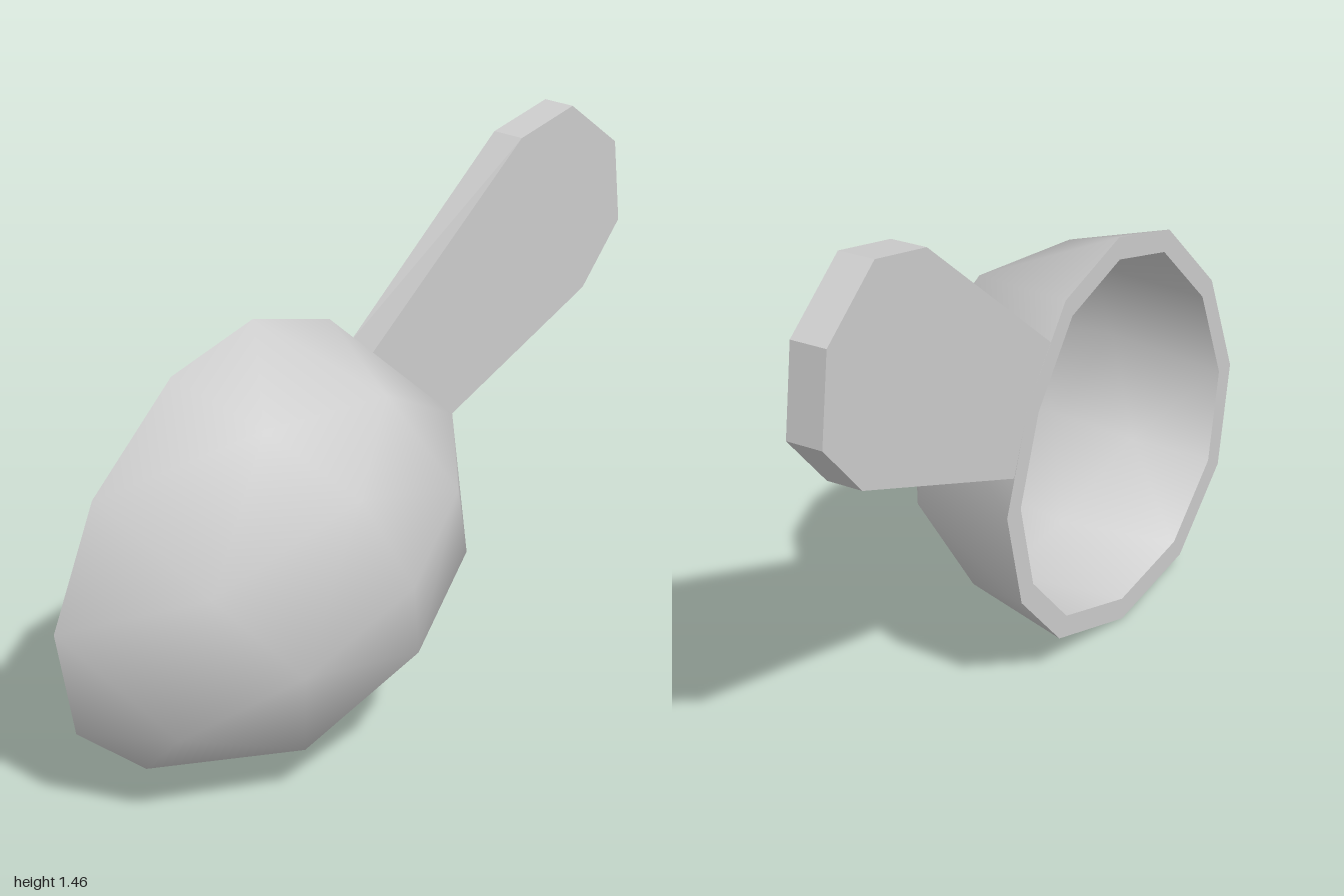
import * as THREE from 'three';

const RIM_Z = -0.275;
const HANDLE_FRONT_Z = -0.18;
const CENTER = [-0.37, 0.57, RIM_Z];
const HOLLOW_SCALE = [0.89, 0.89, 0.72];

// Bowl as rings of 1, 4, 8 and 12 corners, clockwise seen from the front
const TIP = [[-0.33, 0.59, 0.274]];
const UPPER = [[-0.09, 0.745, 0.2], [-0.235, 0.35, 0.2], [-0.63, 0.435, 0.2], [-0.43, 0.83, 0.2]];
const MIDDLE = [
  [0.11, 0.83, 0.0], [0.09, 0.47, 0.07], [-0.07, 0.18, 0.0], [-0.51, 0.138, 0.07],
  [-0.86, 0.284, 0.0], [-0.808, 0.66, 0.07], [-0.555, 0.995, 0.0], [-0.21, 0.998, 0.07],
];
const RIM = [
  [0.13, 0.84], [0.222, 0.58], [0.147, 0.308], [-0.05, 0.108], [-0.395, 0.0], [-0.732, 0.043],
  [-0.95, 0.235], [-1.0, 0.525], [-0.86, 0.83], [-0.595, 1.067], [-0.32, 1.138], [-0.05, 1.062],
].map(([x, y]) => [x, y, RIM_Z]);
const BOWL = [TIP, UPPER, MIDDLE, RIM];

// Shrinks a ring towards the centre of the opening
const shrink = (ring) => ring.map((p) => p.map((v, i) => CENTER[i] + (v - CENTER[i]) * HOLLOW_SCALE[i]));

function smoothGeometry(points, triangles, flip) {
  const geo = new THREE.BufferGeometry();
  geo.setAttribute('position', new THREE.Float32BufferAttribute(points.flat(), 3));
  geo.setIndex(triangles.flatMap(([a, b, c]) => (flip ? [a, c, b] : [a, b, c])));
  geo.computeVertexNormals();
  return geo;
}

// Dome of four triangular fields; ring k has k corners per field
function dome(rings, flip) {
  const start = [0, 1, 5, 13];
  const at = (k, i) => start[k] + (k ? i % (4 * k) : 0);
  const triangles = [];
  for (let k = 1; k < rings.length; k++) {
    for (let q = 0; q < 4; q++) {
      for (let j = 0; j < k; j++) {
        const outer = q * k + j, inner = q * (k - 1) + j;
        triangles.push([at(k, outer), at(k, outer + 1), at(k - 1, inner)]);
        if (j < k - 1) triangles.push([at(k, outer + 1), at(k - 1, inner + 1), at(k - 1, inner)]);
      }
    }
  }
  return smoothGeometry(rings.flat(), triangles, flip);
}

// Flat band between the outer and inner rim
function rimBand(outer, inner) {
  const n = outer.length;
  const triangles = outer.flatMap((_, i) => {
    const j = (i + 1) % n;
    return [[i, j, j + n], [i, j + n, i + n]];
  });
  return smoothGeometry([...outer, ...inner], triangles, false);
}

// Flat handle whose inner end follows the slope of the bowl
function handleGeometry() {
  const end = [
    { front: [0.0, 0.974], back: [0.02, 0.977] },
    { front: [0.125, 0.838], back: [0.13, 0.84] },
    { front: [0.175, 0.664], back: [0.19, 0.677] },
  ];
  const outline = [
    ...end.map((e) => e.front),
    [0.85, 0.93], [1.0, 1.09], [0.975, 1.32], [0.788, 1.46], [0.58, 1.417],
  ];
  const shape = new THREE.Shape(outline.map(([x, y]) => new THREE.Vector2(x, y)));
  const geo = new THREE.ExtrudeGeometry(shape, { depth: HANDLE_FRONT_Z - RIM_Z, bevelEnabled: false });
  geo.translate(0, 0, RIM_Z);
  const pos = geo.attributes.position;
  for (let i = 0; i < pos.count; i++) {
    if (pos.getZ(i) > RIM_Z + 0.01) continue;
    const hit = end.find((e) => Math.hypot(pos.getX(i) - e.front[0], pos.getY(i) - e.front[1]) < 1e-3);
    if (hit) pos.setXY(i, ...hit.back);
  }
  geo.computeVertexNormals();
  return geo;
}

export function createModel() {
  const model = new THREE.Group();
  model.name = 'scoop';
  const metal = new THREE.MeshStandardMaterial({ color: 0xcccccc });
  metal.name = 'light grey';

  const add = (name, geo, parent) => {
    const mesh = new THREE.Mesh(geo, metal);
    mesh.name = name;
    parent.add(mesh);
  };

  // Bowl: outer shell, flat rim and hollow inside
  const bowl = new THREE.Group();
  bowl.name = 'bowl';
  model.add(bowl);
  const hollow = BOWL.map(shrink);
  add('bowlOuter', dome(BOWL, true), bowl);
  add('bowlRim', rimBand(RIM, hollow[3]), bowl);
  add('bowlInner', dome(hollow, false), bowl);

  add('handle', handleGeometry(), model);
  return model;
}
